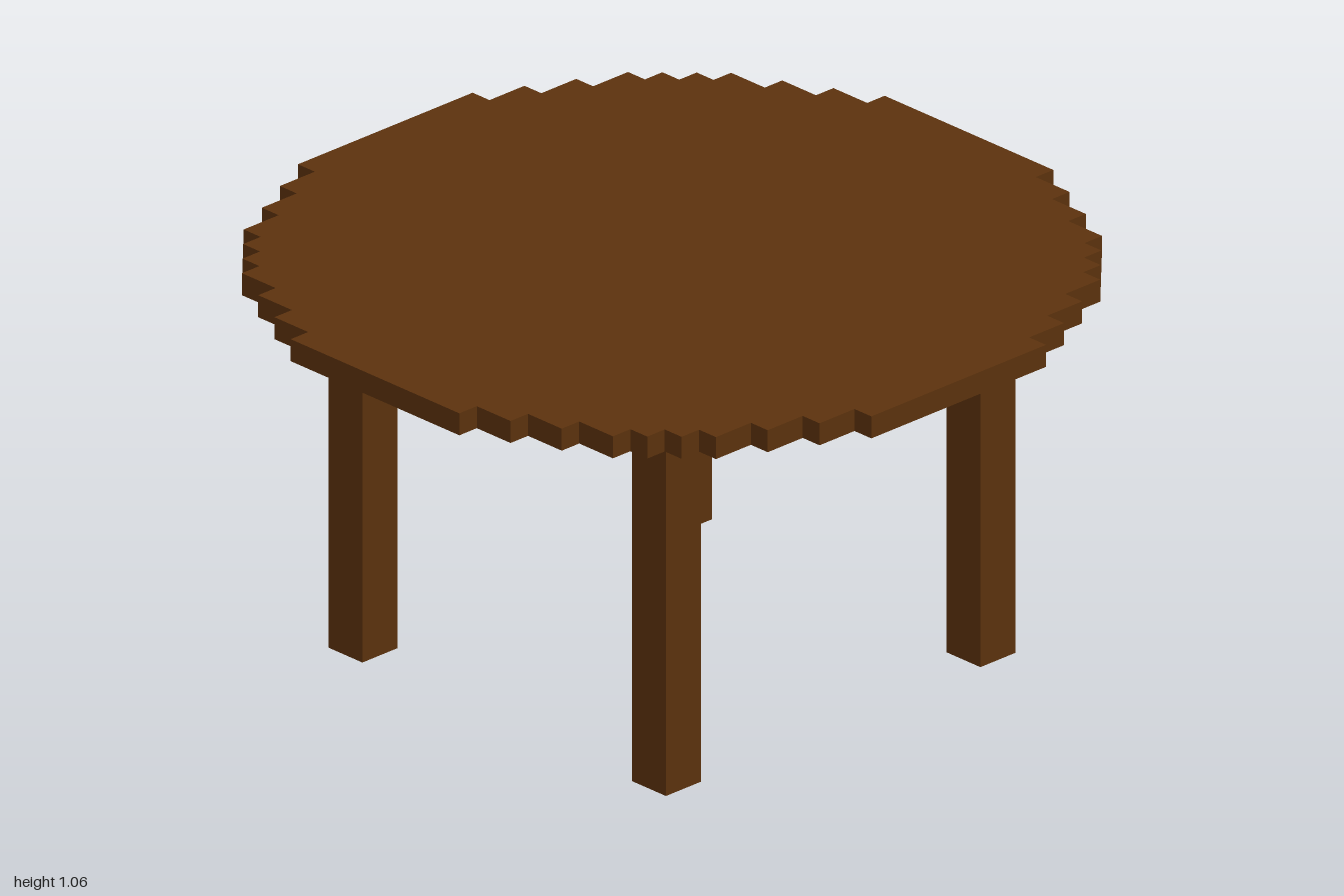
import * as THREE from 'three';

const U = 1 / 17; // one block: the top is 34 blocks wide

export function createModel() {
  const group = new THREE.Group();
  group.name = 'table';
  const wood = new THREE.MeshStandardMaterial({ color: 0x5c320d });
  wood.name = 'brown wood';

  // Stepped round outline: convex corners [x, y] of one quadrant, in blocks
  const steps = [[17, 5], [16, 7], [15, 9], [14, 11], [13, 12], [12, 13], [11, 14], [9, 15], [7, 16], [5, 17]];
  const quadrant = [];
  steps.forEach(([x, y], i) => {
    if (i > 0) quadrant.push([x, steps[i - 1][1]]);
    quadrant.push([x, y]);
  });

  // Turn the quadrant four times to close the outline
  const outline = [];
  for (let q = 0; q < 4; q++) {
    for (const [x, y] of quadrant) {
      const [px, py] = [[x, y], [-y, x], [-x, -y], [y, -x]][q];
      outline.push(new THREE.Vector2(px * U, py * U));
    }
  }

  // Table top, one block thick
  const topGeometry = new THREE.ExtrudeGeometry(new THREE.Shape(outline), { depth: U, bevelEnabled: false });
  topGeometry.rotateX(-Math.PI / 2);
  const top = new THREE.Mesh(topGeometry, wood);
  top.name = 'tableTop';
  top.position.y = 17 * U;
  group.add(top);

  // Four square legs
  const legGeometry = new THREE.BoxGeometry(2 * U, 17 * U, 2 * U);
  for (const [zName, z] of [['front', 1], ['back', -1]]) {
    for (const [xName, x] of [['Left', 1], ['Right', -1]]) {
      const leg = new THREE.Mesh(legGeometry, wood);
      leg.name = `${zName}${xName}Leg`;
      leg.position.set(x * 9 * U, 8.5 * U, z * 9 * U);
      group.add(leg);
    }
  }
  return group;
}
